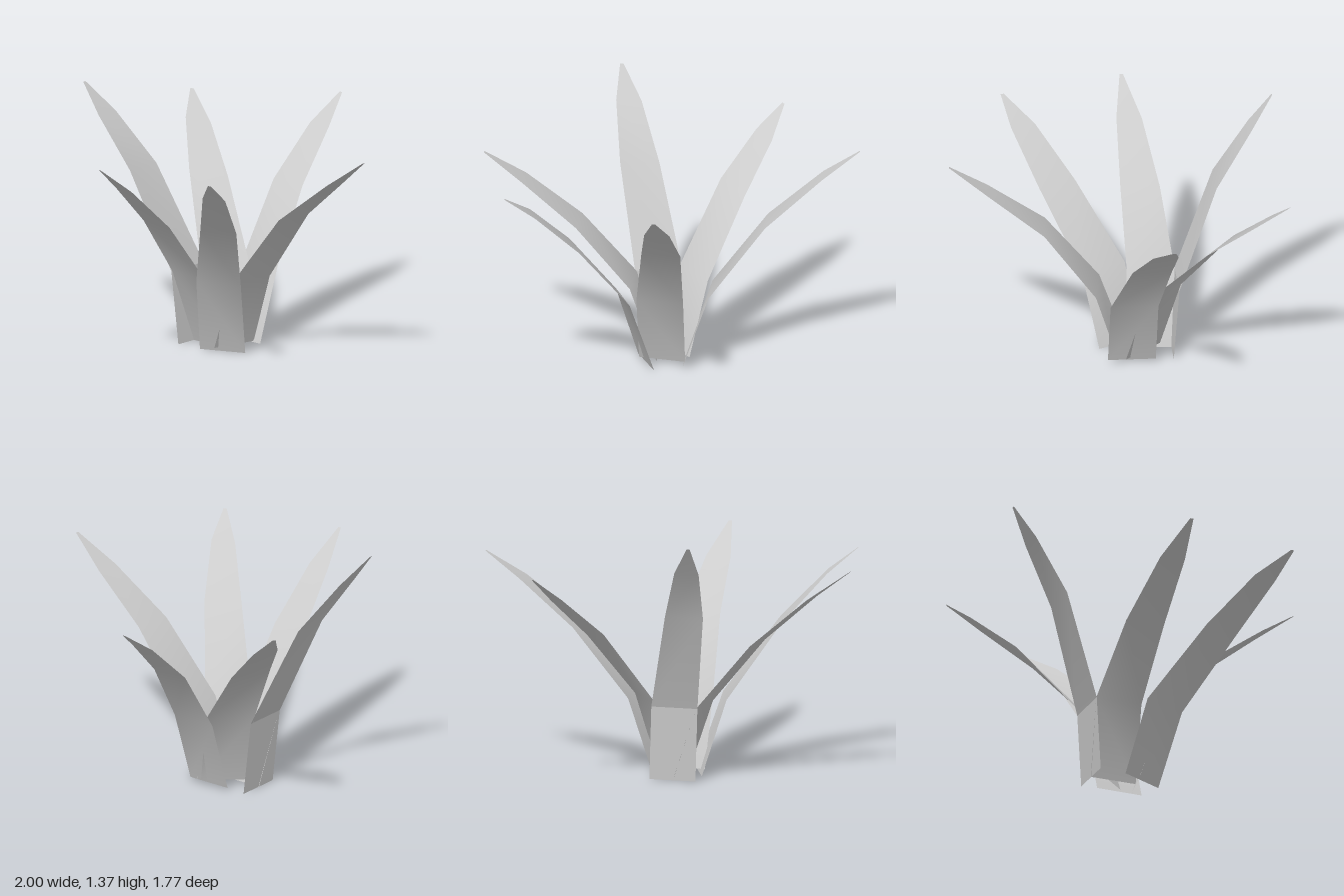
import * as THREE from 'three';

const material = new THREE.MeshStandardMaterial({ color: 0xcccccc, side: THREE.DoubleSide });

// Full blade width at the base, first bend, middle, shoulder and tip
const WIDTHS = [0.255, 0.255, 0.21, 0.135, 0.018];

// Each leaf: five spine points, the heading of its width (degrees, base to tip),
// how far the blade rolls sideways, and whether the base is creased off the blade
const LEAVES = [
  { name: 'frontLeaf', turn: [13, 0], roll: 0,
    spine: [[-0.045, 0.02, -0.04], [-0.05, 0.4, 0.085], [-0.027, 0.79, 0.37], [-0.03, 1.03, 0.675], [-0.035, 1.18, 0.88]] },
  { name: 'rightLeaf', turn: [92, 90], roll: 0,
    spine: [[0.075, 0.015, -0.085], [0.21, 0.41, -0.085], [0.505, 0.785, -0.15], [0.8, 1.035, -0.192], [0.998, 1.17, -0.218]] },
  { name: 'leftLeaf', turn: [93, 100], roll: 0,
    spine: [[-0.07, 0, -0.185], [-0.21, 0.4, -0.215], [-0.495, 0.745, -0.188], [-0.79, 1.0, -0.16], [-0.998, 1.15, -0.14]] },
  { name: 'frontLeftLeaf', turn: [67, 78], roll: 0,
    spine: [[-0.13, 0, -0.045], [-0.25, 0.405, 0.035], [-0.495, 0.785, 0.255], [-0.707, 1.03, 0.415], [-0.85, 1.15, 0.512]] },
  { name: 'backRightLeaf', turn: [51, 48], roll: -0.2,
    spine: [[0.02, 0.03, -0.15], [0.11, 0.43, -0.253], [0.3, 0.81, -0.535], [0.455, 1.03, -0.75], [0.55, 1.16, -0.88]] },
  { name: 'backLeaf', turn: [0, 0], roll: 0, creased: true,
    spine: [[-0.06, 0, -0.31], [-0.08, 0.4, -0.342], [-0.195, 0.935, -0.555], [-0.265, 1.21, -0.75], [-0.31, 1.37, -0.873]] },
];

// Ribbon with smooth normals between a run of [left, right] edge pairs
function ribbon(pairs) {
  const positions = pairs.flat().flatMap((p) => p.toArray());
  const index = [];
  for (let i = 0; i < pairs.length - 1; i++) {
    const a = i * 2;
    index.push(a, a + 1, a + 2, a + 1, a + 3, a + 2);
  }
  const geometry = new THREE.BufferGeometry();
  geometry.setAttribute('position', new THREE.Float32BufferAttribute(positions, 3));
  geometry.setIndex(index);
  geometry.computeVertexNormals();
  return new THREE.Mesh(geometry, material);
}

function makeLeaf({ name, spine, turn, roll, creased }) {
  const pairs = spine.map((point, i) => {
    const centre = new THREE.Vector3(...point);
    const angle = THREE.MathUtils.degToRad(THREE.MathUtils.lerp(turn[0], turn[1], i / 4));
    const half = new THREE.Vector3(Math.cos(angle), i > 1 ? roll : 0, Math.sin(angle))
      .normalize().multiplyScalar(WIDTHS[i] / 2);
    return [centre.clone().sub(half), centre.clone().add(half)];
  });
  const leaf = new THREE.Group();
  leaf.name = name;
  const runs = creased ? [pairs.slice(0, 2), pairs.slice(1)] : [pairs];
  runs.forEach((run, i) => {
    const mesh = ribbon(run);
    mesh.name = creased && i === 0 ? 'leafBase' : 'leafBlade';
    leaf.add(mesh);
  });
  return leaf;
}

export function createModel() {
  const plant = new THREE.Group();
  plant.name = 'leafyPlant';
  LEAVES.forEach((spec) => plant.add(makeLeaf(spec)));
  return plant;
}
